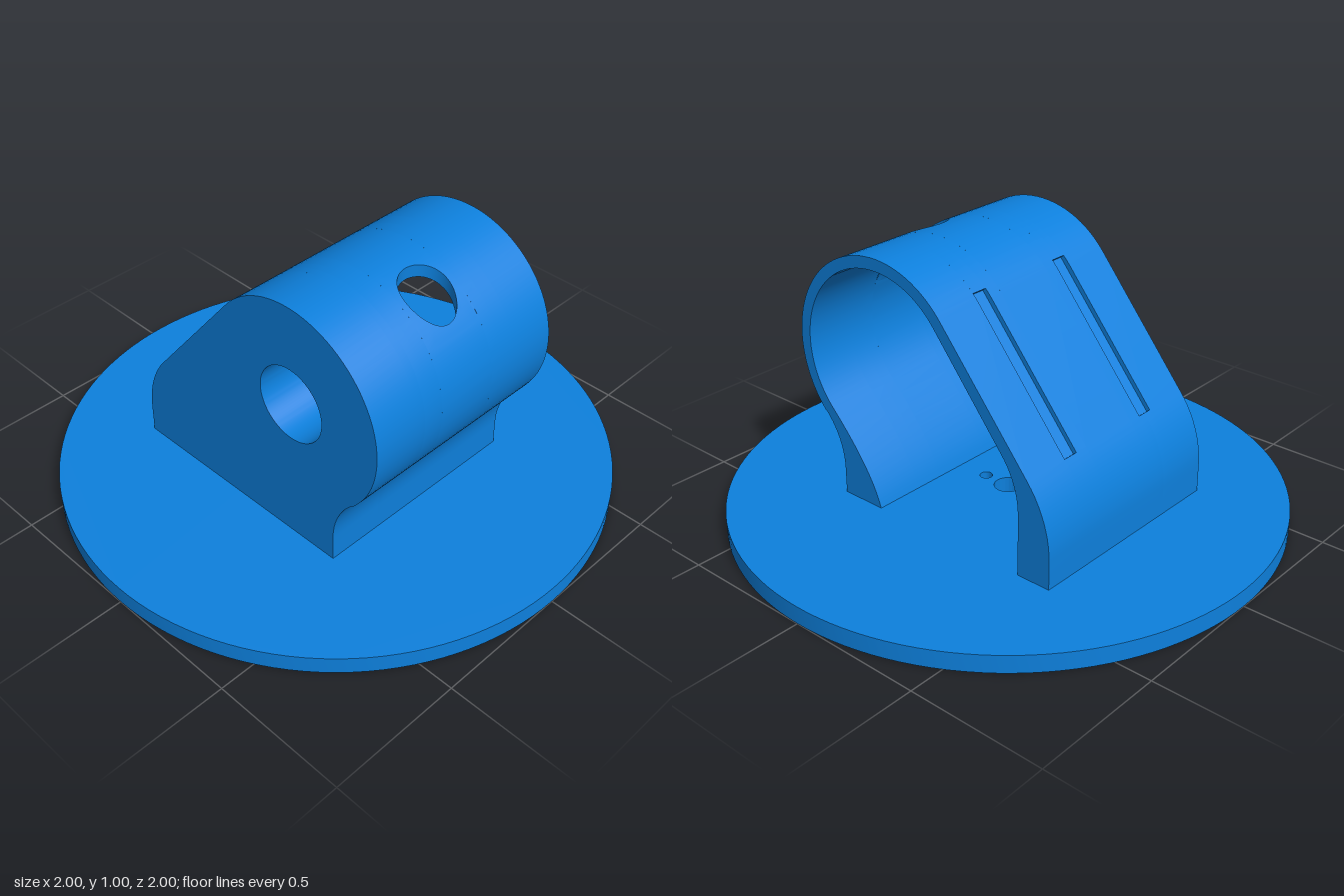
import * as THREE from 'three';
import { mergeGeometries, toCreasedNormals } from 'three/addons/utils/BufferGeometryUtils.js';

const BASE = 0.065, HALF = 0.415, CAVITY_END = 0.2;
const CX = 0.21, CY = 0.62, R_OUT = 0.378, R_IN = 0.335;   // round head of the housing
const HOLE_X = 0.4, HOLE_R = 0.095, PATCH = 0.12;          // vertical hole through the head
const rad = THREE.MathUtils.degToRad;
const v = (x, y) => new THREE.Vector2(x, y);

// points on an arc, angles in degrees
function arc(cx, cy, r, a0, a1) {
  const n = Math.max(2, Math.ceil(Math.abs(a1 - a0) / 4));
  return Array.from({ length: n + 1 }, (_, i) => {
    const a = rad(a0 + (a1 - a0) * i / n);
    return v(cx + r * Math.cos(a), cy + r * Math.sin(a));
  });
}

// quarters of the housing's cross-section, each running counterclockwise
const outerRight = (a) => [v(0.4, BASE), ...arc(0.685, 0.161, 0.285, 180, 136), ...arc(CX, CY, R_OUT, -43, a)];
function outerLeft(a, grooved) {
  const lower = [...arc(-0.135, 0.17, 0.4, 140, 180), v(-0.535, BASE)];
  if (!grooved) return [...arc(CX, CY, R_OUT, a, 140), ...lower];
  const head = arc(CX, CY, R_OUT, a, 134);
  const depth = v(0.766, -0.643).multiplyScalar(0.016);
  return [...head, head.at(-1).clone().add(depth), lower[0].clone().add(depth), ...lower];
}
const innerLeft = (a) => [v(-0.405, BASE), ...arc(-0.105, 0.29, 0.3, 180, 140), ...arc(CX, CY, R_IN, 140, a)];
const innerRight = (a) => [
  ...arc(CX, CY, R_IN, a, -45),
  ...new THREE.QuadraticBezierCurve(v(0.447, 0.383), v(0.265, 0.2), v(0.225, BASE)).getPoints(10).slice(1),
];
const wall = (grooved) => [...outerRight(88), ...outerLeft(92, grooved), ...innerLeft(92), ...innerRight(88)];
const solid = (grooved) => [...outerRight(88), ...outerLeft(92, grooved)];

function slice(points, z0, z1, hole) {
  const shape = new THREE.Shape(points);
  if (hole) shape.holes.push(hole);
  const g = new THREE.ExtrudeGeometry(shape, { depth: z1 - z0, bevelEnabled: false, curveSegments: 48 });
  g.translate(0, 0, z0);
  g.deleteAttribute('uv');
  return g;
}

const circle = (x, y, r) => new THREE.Path().absarc(x, y, r, 0, Math.PI * 2, true);

// curved wall around the vertical hole: outer skin, bore, inner skin
function holePatch() {
  const N = 48, K = 4, pos = [];
  const point = (i, k) => {
    const a = i / N * Math.PI * 2, c = Math.cos(a), s = Math.sin(a);
    const square = PATCH / Math.max(Math.abs(c), Math.abs(s));
    const outside = k <= K;
    const t = outside ? k / K : (2 * K + 1 - k) / K;
    const r = square + (HOLE_R - square) * t;
    const x = HOLE_X + r * c, R = outside ? R_OUT : R_IN;
    return [x, CY + Math.sqrt(R * R - (x - CX) ** 2), r * s];
  };
  for (let k = 0; k < 2 * K + 1; k++) {
    for (let i = 0; i < N; i++) {
      const A = point(i, k), B = point(i + 1, k), C = point(i, k + 1), D = point(i + 1, k + 1);
      pos.push(...A, ...C, ...B, ...B, ...C, ...D);
    }
  }
  const g = new THREE.BufferGeometry();
  g.setAttribute('position', new THREE.Float32BufferAttribute(pos, 3));
  g.computeVertexNormals();
  return g;
}

export function createModel() {
  const model = new THREE.Group();
  model.name = 'mountingBracket';
  const material = new THREE.MeshStandardMaterial({ color: 0x0d80dd });
  const add = (name, geometry) => {
    const mesh = new THREE.Mesh(toCreasedNormals(geometry, 0.5), material);
    mesh.name = name;
    model.add(mesh);
  };

  // round base plate with a centre hole and two small screw holes
  const disc = new THREE.Shape().absarc(0, 0, 1, 0, Math.PI * 2);
  disc.holes.push(circle(0, 0, 0.05), circle(0.105, 0, 0.023), circle(-0.105, 0, 0.023));
  const plate = new THREE.ExtrudeGeometry(disc, { depth: BASE, bevelEnabled: false, curveSegments: 64 });
  plate.rotateX(-Math.PI / 2);
  add('basePlate', plate);

  // hollow housing, open at the back, with two shallow grooves on the slope
  const angle = (x, r) => THREE.MathUtils.radToDeg(Math.acos((x - CX) / r));
  const x0 = HOLE_X - PATCH, x1 = HOLE_X + PATCH;
  add('housingShell', mergeGeometries([
    slice(wall(false), -HALF, -0.23),
    slice(wall(true), -0.23, -0.17),
    slice(wall(false), -0.17, -PATCH),
    slice([...outerRight(angle(x1, R_OUT)), ...innerRight(angle(x1, R_IN))], -PATCH, PATCH),
    slice([...outerLeft(angle(x0, R_OUT), false), ...innerLeft(angle(x0, R_IN))], -PATCH, PATCH),
    holePatch(),
    slice(wall(false), PATCH, 0.17),
    slice(wall(true), 0.17, CAVITY_END),
  ]));

  // thick front wall with the round through hole
  add('frontWall', mergeGeometries([
    slice(solid(true), CAVITY_END, 0.23, circle(CX, CY, 0.14)),
    slice(solid(false), 0.23, HALF, circle(CX, CY, 0.14)),
  ]));
  return model;
}
